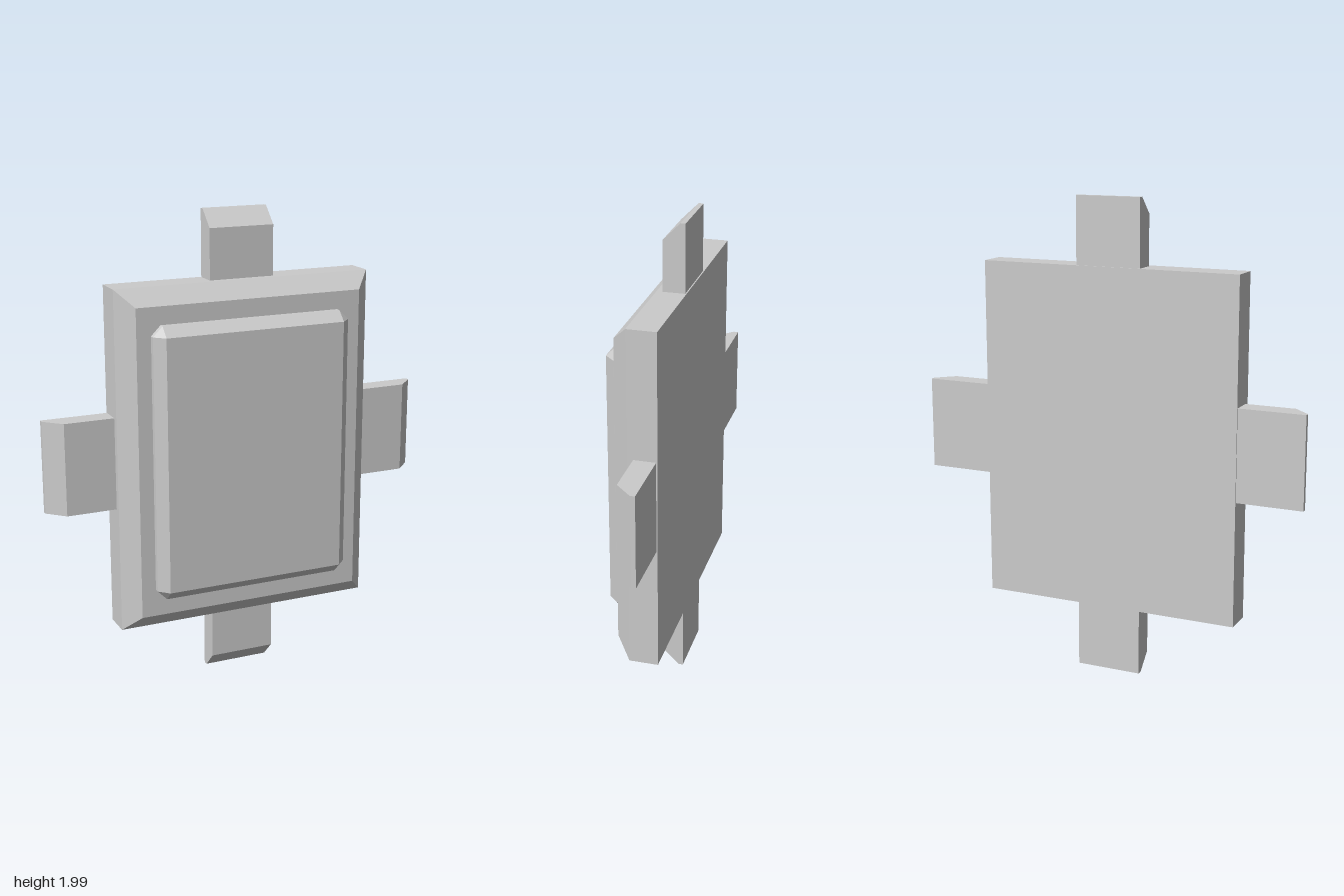
import * as THREE from 'three';

const CENTER_Y = 1.0025;
const material = new THREE.MeshStandardMaterial({ color: 0xcccccc, flatShading: true });

// Rectangle with cut corners, counter-clockwise from the front (cut 0 = sharp)
function ring(hx, hy, z, cut = 0) {
  return [
    [hx, hy - cut], [hx - cut, hy], [-hx + cut, hy], [-hx, hy - cut],
    [-hx, -hy + cut], [-hx + cut, -hy], [hx - cut, -hy], [hx, -hy + cut],
  ].map(([x, y]) => new THREE.Vector3(x, y, z));
}

// Closed solid through rings ordered back to front
function loft(rings) {
  const pos = [];
  const tri = (a, b, c) => {
    if (new THREE.Triangle(a, b, c).getArea() < 1e-8) return;
    for (const p of [a, b, c]) pos.push(p.x, p.y, p.z);
  };
  for (let r = 0; r < rings.length - 1; r++) {
    const lo = rings[r], hi = rings[r + 1], n = lo.length;
    for (let i = 0; i < n; i++) {
      const j = (i + 1) % n;
      tri(lo[i], lo[j], hi[j]);
      tri(lo[i], hi[j], hi[i]);
    }
  }
  const back = rings[0], front = rings[rings.length - 1];
  for (let i = 1; i < back.length - 1; i++) {
    tri(back[0], back[i + 1], back[i]);
    tri(front[0], front[i], front[i + 1]);
  }
  const g = new THREE.BufferGeometry();
  g.setAttribute('position', new THREE.Float32BufferAttribute(pos, 3));
  g.computeVertexNormals();
  return g;
}

// Tab pointing up (+y) with a bevelled front tip
function tabGeometry(inner, outer, width) {
  const profile = new THREE.Shape([
    [inner, -0.12], [outer, -0.12], [outer, -0.1], [outer - 0.07, -0.03], [inner, -0.03],
  ].map(([u, v]) => new THREE.Vector2(u, v)));
  const g = new THREE.ExtrudeGeometry(profile, { depth: width, bevelEnabled: false });
  g.translate(0, 0, -width / 2);
  g.applyMatrix4(new THREE.Matrix4().makeBasis(
    new THREE.Vector3(0, 1, 0), new THREE.Vector3(0, 0, 1), new THREE.Vector3(1, 0, 0)));
  return g;
}

export function createModel() {
  const model = new THREE.Group();
  model.name = 'panelPlate';
  const add = (name, geometry, turn = 0) => {
    const mesh = new THREE.Mesh(geometry, material);
    mesh.name = name;
    mesh.position.y = CENTER_Y;
    mesh.rotation.z = turn;
    model.add(mesh);
  };

  // Main plate with a bevelled front edge
  add('basePlate', loft([
    ring(0.56, 0.718, -0.125), ring(0.56, 0.718, -0.005), ring(0.492, 0.65, 0.062),
  ]));

  // Raised panel: cut corners rising to a sharp-cornered face
  add('raisedPanel', loft([
    ring(0.431, 0.575, 0.05, 0.041), ring(0.431, 0.575, 0.084, 0.041), ring(0.39, 0.534, 0.125),
  ]));

  // Four tabs around the edge
  const endTab = tabGeometry(0.7, 0.9975, 0.28);
  const sideTab = tabGeometry(0.54, 0.84, 0.386);
  add('topTab', endTab);
  add('bottomTab', endTab, Math.PI);
  add('leftTab', sideTab, -Math.PI / 2);
  add('rightTab', sideTab, Math.PI / 2);

  // Rest the lowest point on the ground
  model.children.forEach((m) => { m.position.y -= CENTER_Y - 0.9975 - 0.0025; });
  return model;
}
